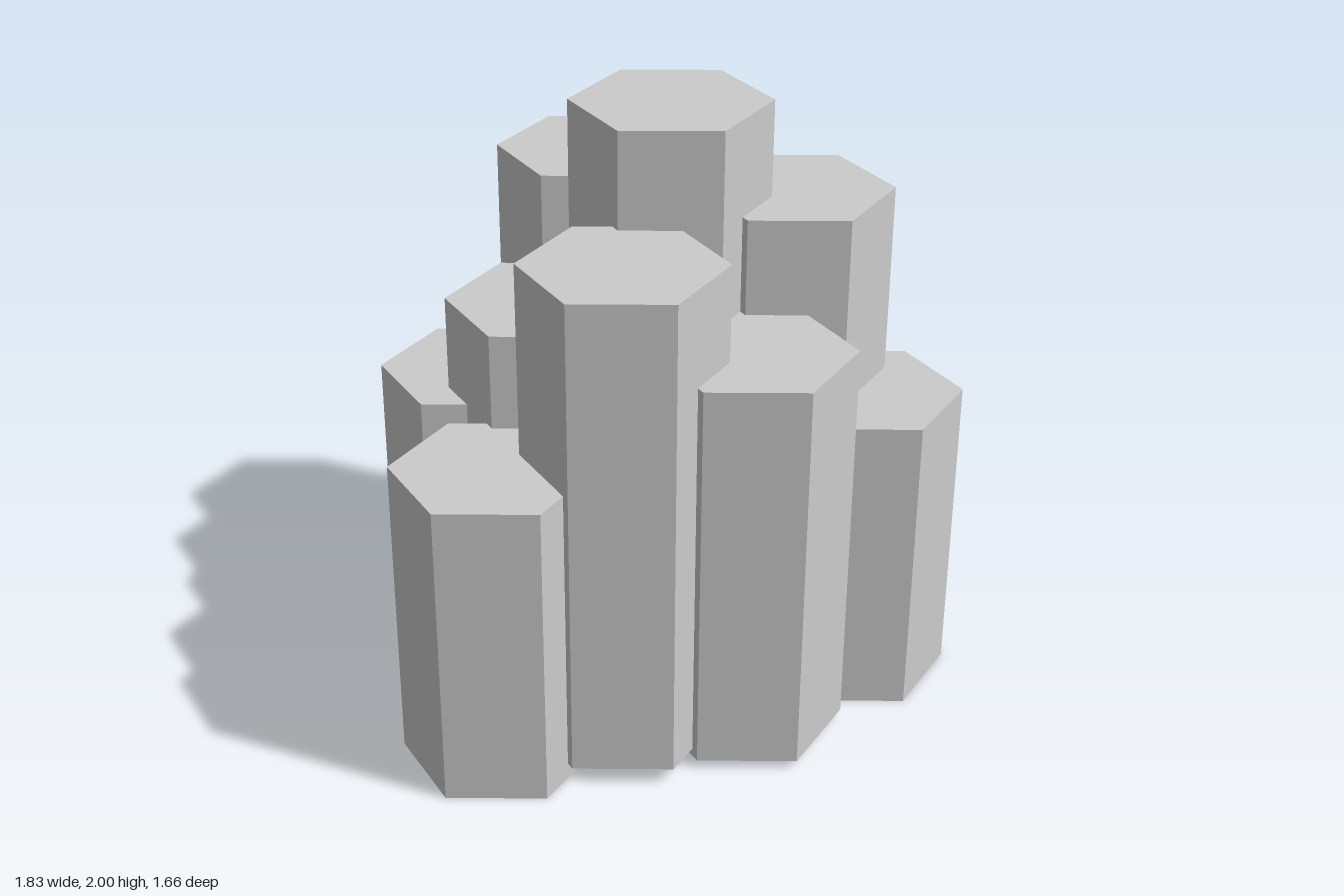
import * as THREE from 'three';

const STEP = 0.128;   // grid pitch for the column centres
const RADIUS = 0.32;  // hexagon corner radius, corners pointing along z

// Height tiers: taller columns also start slightly higher
const TIERS = [
  { bottom: 0, top: 1.04 },
  { bottom: 0.028, top: 1.36 },
  { bottom: 0.055, top: 1.68 },
  { bottom: 0.083, top: 2 },
];

// Column centres in grid steps, with their tier
const COLUMNS = [
  { name: 'centreColumn', x: 1, z: 0, tier: 3 },
  { name: 'backColumn', x: 1, z: -4, tier: 2 },
  { name: 'frontRightColumn', x: -2, z: 3, tier: 2 },
  { name: 'leftColumn', x: 4, z: 1, tier: 2 },
  { name: 'frontColumn', x: 1, z: 4, tier: 1 },
  { name: 'rightColumn', x: -2, z: -1, tier: 1 },
  { name: 'backLeftColumn', x: 4, z: -3, tier: 1 },
  { name: 'outerRightColumn', x: -5, z: 2, tier: 0 },
  { name: 'outerLeftColumn', x: 5, z: 3, tier: 0 },
  { name: 'backRightColumn', x: -3, z: -3, tier: 0 },
];

export function createModel() {
  const group = new THREE.Group();
  group.name = 'hexagonalColumnCluster';
  const stone = new THREE.MeshStandardMaterial({ color: 0xcccccc, flatShading: true });

  // One hexagonal prism per column
  for (const { name, x, z, tier } of COLUMNS) {
    const { bottom, top } = TIERS[tier];
    const column = new THREE.Mesh(
      new THREE.CylinderGeometry(RADIUS, RADIUS, top - bottom, 6), stone);
    column.name = name;
    column.position.set(x * STEP, (top + bottom) / 2, z * STEP);
    group.add(column);
  }
  return group;
}
